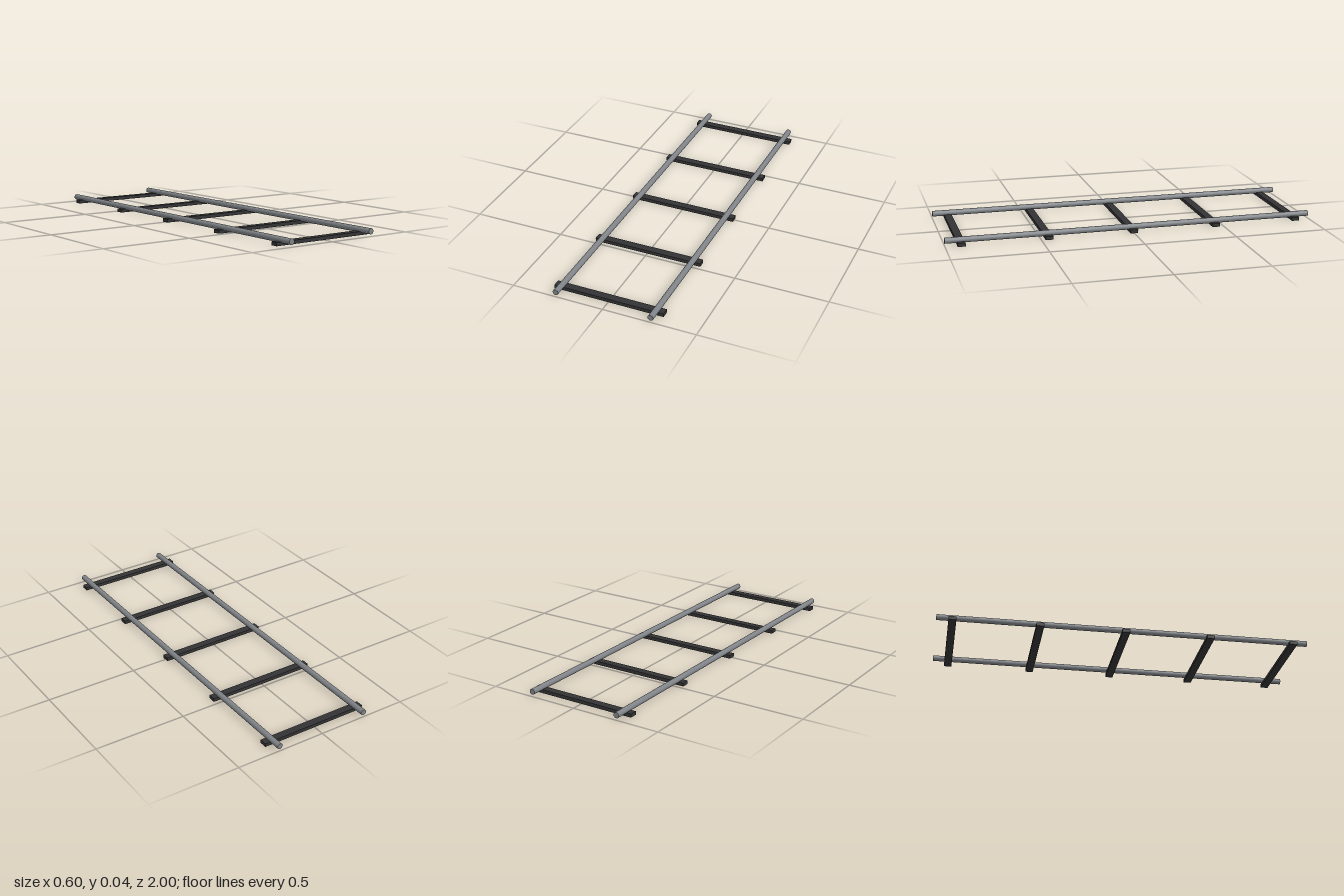
import * as THREE from 'three';

export function createModel() {
  const model = new THREE.Group();
  model.name = 'railTrack';

  const steel = new THREE.MeshStandardMaterial({ color: 0x808488 });
  steel.name = 'steel grey';
  const darkTie = new THREE.MeshStandardMaterial({ color: 0x333335 });
  darkTie.name = 'dark charcoal';

  // Two round rails running front to back
  const railGeometry = new THREE.CylinderGeometry(0.0155, 0.0155, 2, 16);
  railGeometry.rotateX(Math.PI / 2);
  for (const side of [-1, 1]) {
    const rail = new THREE.Mesh(railGeometry, steel);
    rail.name = side > 0 ? 'leftRail' : 'rightRail';
    rail.position.set(side * 0.259, 0.0265, 0);
    model.add(rail);
  }

  // Five evenly spaced cross ties under the rails
  const tieGeometry = new THREE.BoxGeometry(0.6, 0.0185, 0.041);
  for (let i = -2; i <= 2; i++) {
    const tie = new THREE.Mesh(tieGeometry, darkTie);
    tie.name = `crossTie${i + 3}`;
    tie.position.set(0, 0.00925, i * 0.458);
    model.add(tie);
  }

  return model;
}
